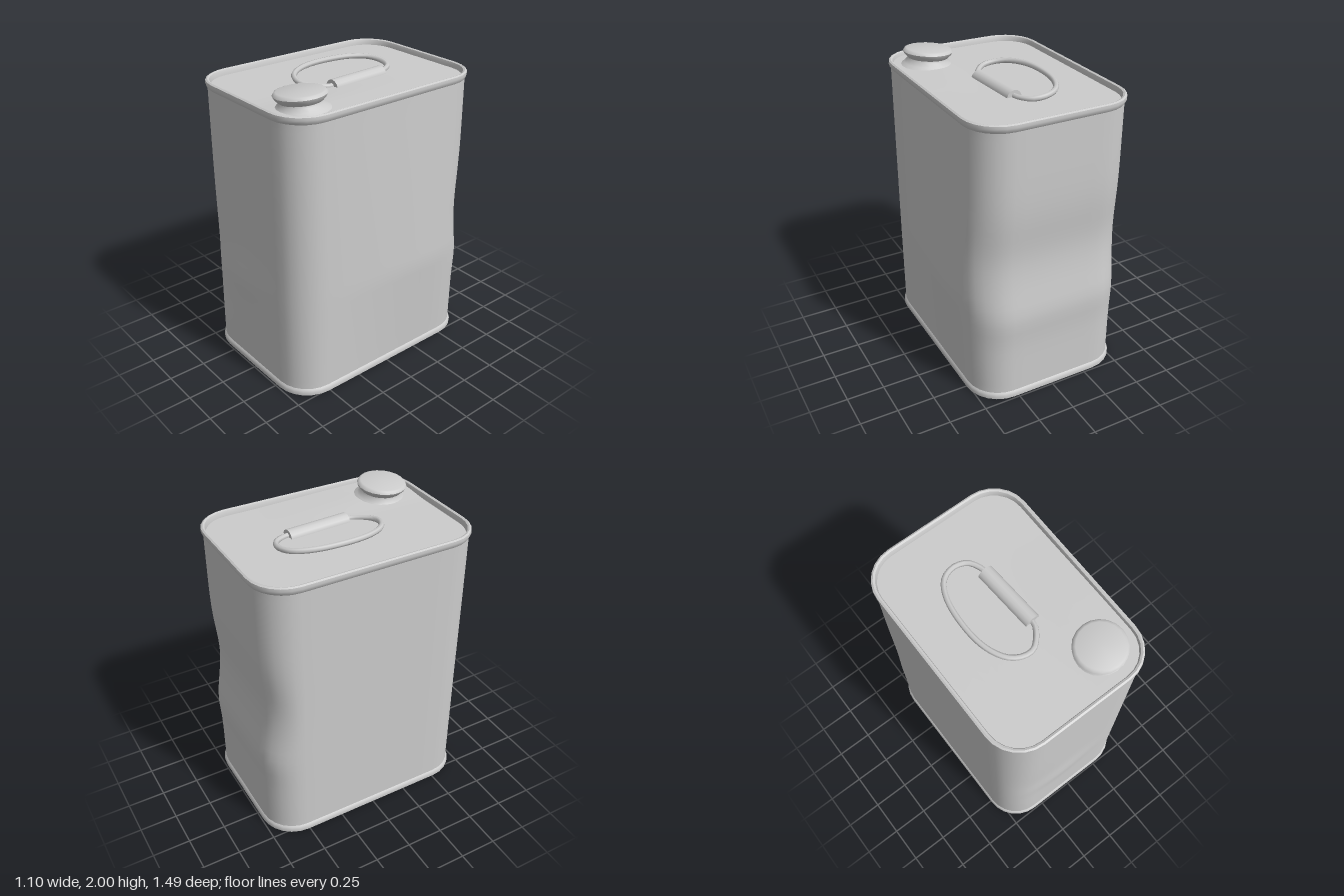
import * as THREE from 'three';
import { toCreasedNormals } from 'three/addons/utils/BufferGeometryUtils.js';

const material = new THREE.MeshStandardMaterial({ color: 0xcccccc });
const CX = -0.0175, HX = 0.522, HZ = 0.73, R = 0.22;

const bump = (v, centre, width) => Math.exp(-(((v - centre) / width) ** 2));
const tent = (v, a, peak, b) => Math.max(0, Math.min((v - a) / (peak - a), (b - v) / (b - peak)));
const step = THREE.MathUtils.smoothstep;

// Rounded rectangle in x/z, grown by `o`, with extra points along the straight sides
function outline(o, arc = 6, side = 8) {
  const pts = [], r = R + o;
  const corners = [[1, 1], [-1, 1], [-1, -1], [1, -1]];
  corners.forEach(([sx, sz], k) => {
    const centre = new THREE.Vector2(sx * (HX - R), sz * (HZ - R));
    for (let i = 0; i <= arc; i++) {
      const a = (k + i / arc) * Math.PI / 2;
      pts.push(new THREE.Vector2(centre.x + r * Math.cos(a), centre.y + r * Math.sin(a)));
    }
    const a = (k + 1) * Math.PI / 2, [nx, nz] = corners[(k + 1) % 4];
    const from = pts[pts.length - 1];
    const to = new THREE.Vector2(nx * (HX - R) + r * Math.cos(a), nz * (HZ - R) + r * Math.sin(a));
    for (let i = 1; i < side; i++) pts.push(from.clone().lerp(to, i / side));
  });
  return pts;
}

// Skin through rings [offset, y, scale]; `warp` moves each vertex
function skin(rings, warp) {
  const pos = [], index = [], v = new THREE.Vector3();
  let n = 0;
  rings.forEach(([o, y, s = 1]) => {
    const loop = outline(o);
    n = loop.length;
    for (const p of loop) {
      v.set(CX + p.x * s, y, p.y * s);
      if (warp) warp(v);
      pos.push(v.x, v.y, v.z);
    }
  });
  for (let j = 0; j < rings.length - 1; j++) {
    for (let i = 0; i < n; i++) {
      const a = j * n + i, b = j * n + (i + 1) % n, c = a + n, d = b + n;
      if (rings[j][2] !== 0) index.push(a, c, b);
      if (rings[j + 1][2] !== 0) index.push(b, c, d);
    }
  }
  const g = new THREE.BufferGeometry();
  g.setAttribute('position', new THREE.Float32BufferAttribute(pos, 3));
  g.setIndex(index);
  return toCreasedNormals(g, 0.8);
}

// Dents and bulges of the sheet-metal walls
function dentWalls(v) {
  const { x, y, z } = v;
  const fade = step(y, 0.04, 0.3) * (1 - step(y, 1.6, 1.87));
  v.x += 0.05 * step(x, 0.25, 0.5) * tent(y, 0.04, 0.7, 1.88) * tent(z, -0.75, -0.34, 0.6);
  const back = step(-z, 0.45, 0.72);
  v.z += back * fade * (0.032 * bump(y, 1.0, 0.25) - 0.014 * bump(y, 0.6, 0.13));
  const front = step(z, 0.6, 0.73);
  v.z += front * fade * (0.014 * bump(y, 0.65, 0.12) * bump(x, -0.1, 0.25)
    - 0.012 * bump(y, 0.75, 0.35) * bump(x, -0.35, 0.12));
}

// The lid rises gently towards the spout
const liftLid = (v) => { v.y += 0.012 * step(v.x, 0.03, 0.3) * step(v.z, -0.4, 0.4); };

export function createModel() {
  const group = new THREE.Group();
  const add = (name, geometry) => {
    const mesh = new THREE.Mesh(geometry, material);
    mesh.name = name;
    group.add(mesh);
    return mesh;
  };

  // Walls
  const rows = 28, walls = [];
  for (let j = 0; j <= rows; j++) walls.push([0, 0.035 + (1.885 - 0.035) * j / rows]);
  add('walls', skin(walls, dentWalls));

  // Bottom plate and folded seam
  add('bottomPlate', skin([[-0.012, 0.025, 0], [-0.012, 0.025]]));
  add('bottomSeam', skin([
    [-0.012, 0.025], [-0.01, 0.008], [0, 0.003], [0.012, 0.008],
    [0.013, 0.025], [0.008, 0.042], [-0.002, 0.052],
  ]));

  // Top seam and lid
  add('topSeam', skin([
    [-0.002, 1.868], [0.008, 1.882], [0.013, 1.9], [0.011, 1.916],
    [0, 1.922], [-0.012, 1.917], [-0.018, 1.9], [-0.02, 1.875],
  ]));
  const lid = [];
  for (let j = 0; j <= 12; j++) lid.push([-0.015, 1.883, 1 - j / 12]);
  add('lid', skin(lid, liftLid));

  // Spout with its cap, leaning slightly
  const spoutProfile = [
    [0.185, -0.012], [0.155, 0.008], [0.135, 0.03], [0.132, 0.042], [0.155, 0.066],
    [0.162, 0.082], [0.152, 0.097], [0.14, 0.101], [0, 0.103],
  ].map(([x, y]) => new THREE.Vector2(x, y));
  const spout = add('spoutCap', toCreasedNormals(new THREE.LatheGeometry(spoutProfile, 20), 0.75));
  spout.position.set(0.265, 1.888, 0.5);
  spout.rotation.set(0.03, 0, 0.08);

  // Wire loop of the handle, lying with its far side raised
  const wirePoints = [
    [0.058, -0.26], [0.05, -0.32], [0.005, -0.395], [-0.08, -0.42], [-0.17, -0.385], [-0.235, -0.27],
    [-0.26, -0.04], [-0.235, 0.12], [-0.175, 0.225], [-0.1, 0.268], [-0.03, 0.268],
    [0.035, 0.215], [0.075, 0.15], [0.08, 0.09],
  ].map(([x, z]) => new THREE.Vector3(x, 1.886 + (0.07 - x) * 0.127, z));
  const wirePath = new THREE.CatmullRomCurve3(wirePoints);
  add('handleWire', new THREE.TubeGeometry(wirePath, 40, 0.018, 7, false));

  // Rolled grip around the wire
  const grip = add('handleGrip', new THREE.CylinderGeometry(0.053, 0.053, 0.42, 14));
  grip.position.set(0.067, 1.872, -0.083);
  grip.rotation.set(Math.PI / 2, 0, -0.06);

  return group;
}
